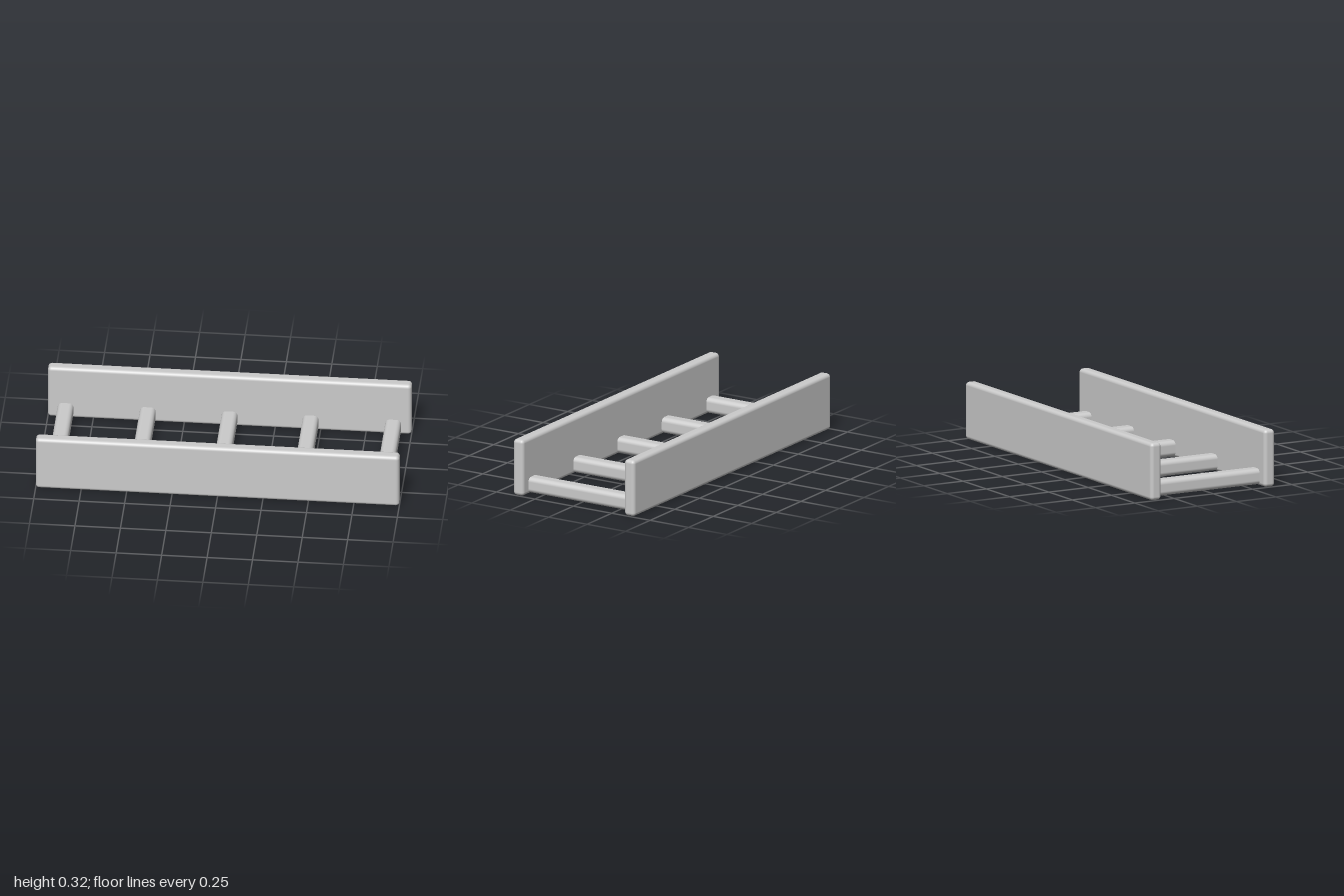
import * as THREE from 'three';
import { RoundedBoxGeometry } from 'three/addons/geometries/RoundedBoxGeometry.js';

export function createModel() {
  const group = new THREE.Group();
  const material = new THREE.MeshStandardMaterial({ color: 0xcccccc });

  const addBar = (name, size, radius, position) => {
    const mesh = new THREE.Mesh(new RoundedBoxGeometry(...size, 5, radius), material);
    mesh.name = name;
    mesh.position.set(...position);
    group.add(mesh);
  };

  // Two upright side boards, front and back
  for (const [name, side] of [['frontBoard', 1], ['backBoard', -1]]) {
    addBar(name, [2, 0.32, 0.067], 0.02, [0, 0.16, side * 0.3615]);
  }

  // Five low rungs, their ends seated inside the boards
  [-0.902, -0.45, 0, 0.446, 0.9].forEach((x, i) => {
    addBar(`rung${i + 1}`, [0.087, 0.088, 0.72], 0.025, [x, 0.051, 0]);
  });

  return group;
}
